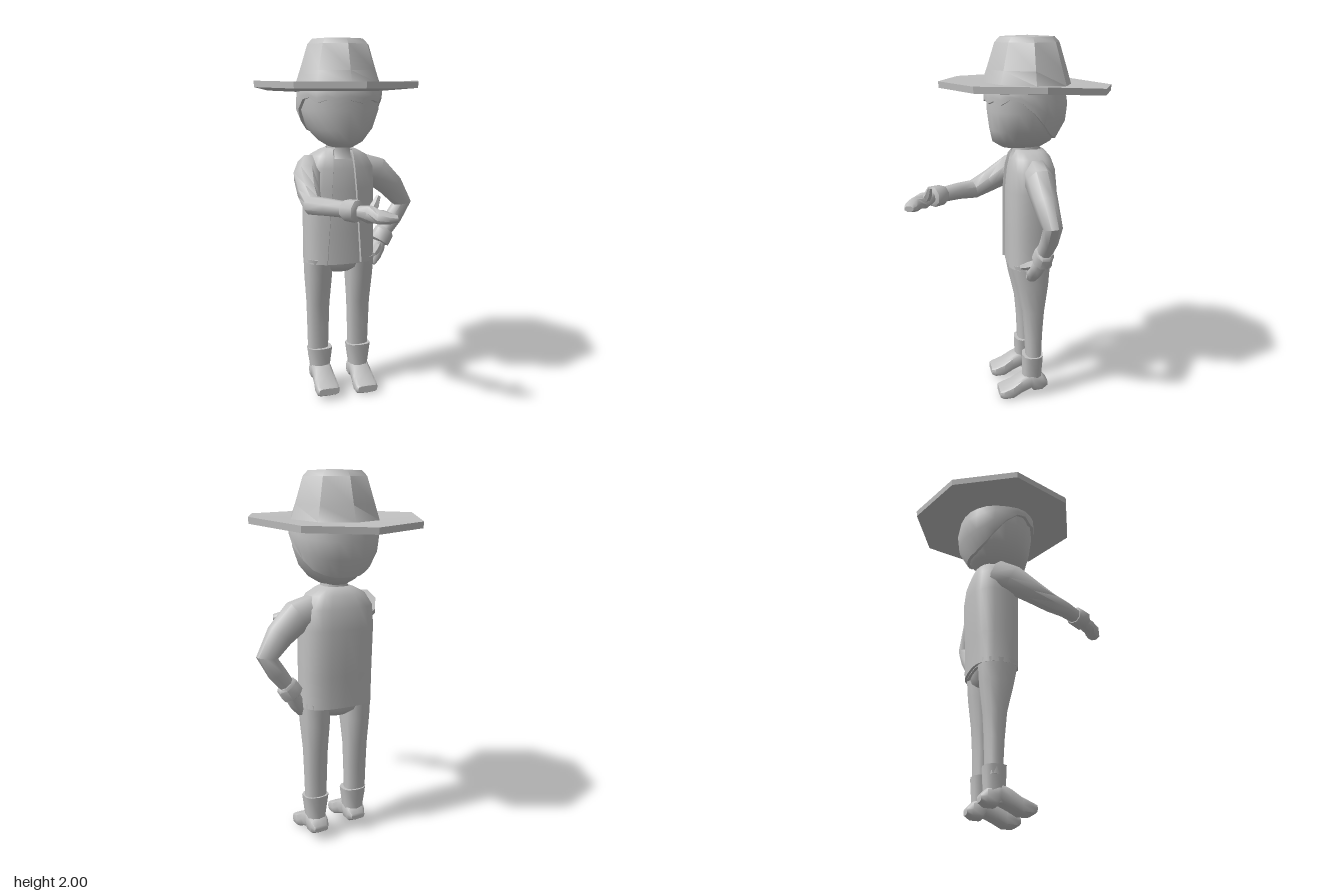
import * as THREE from 'three';
import { toCreasedNormals } from 'three/addons/utils/BufferGeometryUtils.js';

const V = (x, y, z) => new THREE.Vector3(x, y, z);
const pw = (t, e) => Math.sign(t) * Math.pow(Math.abs(t), 2 / e);

// Skin over rows of points; rings may be closed and capped. Faces are turned outward.
function skin(rows, { closed = true, caps = true, crease = 0.9 } = {}) {
  const n = rows[0].length, pts = rows.flat(), idx = [];
  const cols = closed ? n : n - 1;
  for (let r = 0; r < rows.length - 1; r++) {
    for (let i = 0; i < cols; i++) {
      const a = r * n + i, b = r * n + (i + 1) % n;
      idx.push(a, b, a + n, b, b + n, a + n);
    }
  }
  if (caps) {
    for (const r of [0, rows.length - 1]) {
      const c = pts.length;
      pts.push(rows[r].reduce((s, p) => s.add(p), V(0, 0, 0)).divideScalar(n));
      for (let i = 0; i < n; i++) {
        const a = r * n + i, b = r * n + (i + 1) % n;
        r === 0 ? idx.push(c, b, a) : idx.push(c, a, b);
      }
    }
  }
  const mid = new THREE.Box3().setFromPoints(pts).getCenter(V(0, 0, 0));
  let volume = 0;
  for (let i = 0; i < idx.length; i += 3) {
    const [a, b, c] = [0, 1, 2].map(k => pts[idx[i + k]].clone().sub(mid));
    volume += a.dot(b.cross(c));
  }
  if (volume < 0) idx.reverse();
  const g = new THREE.BufferGeometry().setFromPoints(pts);
  g.setIndex(idx);
  return toCreasedNormals(g, crease);
}

// Point on a horizontal rounded section [y, halfWidth, zFront, zBack]; angle 0 faces front
function onOval([y, rx, zf, zb], a, e = 2.4, grow = 0, cx = 0) {
  return V(cx + (rx + grow) * pw(Math.sin(a), e), y,
    (zf + zb) / 2 + ((zf - zb) / 2 + grow) * pw(Math.cos(a), e));
}

function body(sections, n = 16, e = 2.4, cx = 0, crease = 0.9) {
  return skin(sections.map(s => Array.from({ length: n }, (_, i) =>
    onOval(s, i / n * Math.PI * 2, e, 0, cx))), { crease });
}

// Limb through [x, y, z, radius, flatRadius]
function limb(path, n = 8, crease = 0.9) {
  const p = path.map(q => V(q[0], q[1], q[2]));
  return skin(path.map((q, k) => {
    const t = p[Math.min(k + 1, p.length - 1)].clone().sub(p[Math.max(k - 1, 0)]).normalize();
    const ref = Math.abs(t.z) > 0.75 ? V(0, 1, 0) : V(0, 0, 1);
    const u = ref.clone().addScaledVector(t, -ref.dot(t)).normalize();
    const v = t.clone().cross(u);
    return Array.from({ length: n }, (_, i) => {
      const a = (i + 0.5) / n * Math.PI * 2;
      return p[k].clone().addScaledVector(u, Math.cos(a) * (q[4] ?? q[3])).addScaledVector(v, Math.sin(a) * q[3]);
    });
  }), { crease });
}

export function createModel() {
  const model = new THREE.Group();
  const grey = new THREE.MeshStandardMaterial({ color: 0xc0c0c0, side: THREE.DoubleSide });
  grey.name = 'plain grey';
  const add = (name, geometry) => {
    const m = new THREE.Mesh(geometry, grey);
    m.name = name;
    model.add(m);
  };

  // Eight-sided hat, brim sides curled up and front lifted
  const profile = [[0, 1.72], [0.22, 1.716], [0.462, 1.724], [0.465, 1.757], [0.24, 1.757],
    [0.215, 1.83], [0.172, 1.965], [0.145, 1.993], [0, 2]];
  const hat = new THREE.LatheGeometry(profile.map(p => new THREE.Vector2(...p)), 8);
  const hp = hat.attributes.position;
  for (let i = 0; i < hp.count; i++) {
    const x = hp.getX(i), z = hp.getZ(i);
    if (hp.getY(i) < 1.8) hp.setY(i, hp.getY(i) + 0.018 * (x / 0.46) ** 4 + 0.015 * z / 0.46);
  }
  hat.translate(0, 0, -0.095);
  hat.deleteAttribute('uv');
  add('hat', toCreasedNormals(hat, 0.75));

  // Head and neck
  const head = [[1.425, 0.065, 0.04, -0.17], [1.455, 0.115, 0.09, -0.22], [1.52, 0.175, 0.105, -0.265],
    [1.62, 0.212, 0.117, -0.29], [1.74, 0.212, 0.112, -0.275]];
  add('head', body(head, 20, 2.3));
  add('neck', body([[1.36, 0.085, 0, -0.18], [1.41, 0.068, -0.02, -0.16], [1.46, 0.07, -0.01, -0.17]], 12));

  // Hair shell with a ragged fringe and a low nape
  const headAt = y => {
    let k = 0;
    while (k < head.length - 2 && y > head[k + 1][0]) k++;
    const t = (y - head[k][0]) / (head[k + 1][0] - head[k][0]);
    return head[k].map((v, i) => THREE.MathUtils.lerp(v, head[k + 1][i], t));
  };
  const edge = [1.675, 1.66, 1.678, 1.662, 1.69, 1.68, 1.625, 1.56, 1.51, 1.49, 1.475, 1.472, 1.472];
  const hairRows = [[0, -0.005], [0, 0.016], [0.35, 0.018], [0.7, 0.018], [1, 0.014]].map(([t, d]) =>
    Array.from({ length: 24 }, (_, i) => {
      const y = THREE.MathUtils.lerp(edge[i > 12 ? 24 - i : i], 1.735, t);
      return onOval(headAt(y), i / 24 * Math.PI * 2, 2.3, d);
    }));
  add('hair', skin(hairRows, { caps: false }));

  // Shirt and open vest over it
  const torso = [[0.775, 0.2, 0.025, -0.23], [0.95, 0.2, 0.025, -0.235], [1.2, 0.2, 0.025, -0.25],
    [1.31, 0.195, 0.015, -0.238], [1.375, 0.155, 0, -0.215], [1.405, 0.1, -0.015, -0.19], [1.415, 0.07, -0.025, -0.17]];
  add('shirt', body(torso.map(([y, w, f, b]) => [y - 0.004, w - 0.014, f - 0.012, b + 0.014]), 20, 2.8));
  const vestRow = (s, k, d) => {
    const open = Math.min(0.1 - 0.045 * (s[0] - 0.775) / 0.64, s[1] * 0.55);
    const a0 = Math.asin(Math.pow(open / s[1], 1.4));
    const row = Array.from({ length: 21 }, (_, i) => onOval(s, a0 + (Math.PI * 2 - 2 * a0) * i / 20, 2.8, d));
    const inner = a => onOval(s, a, 2.8, -0.018);
    return [inner(a0), ...row, inner(-a0)];
  };
  add('vest', skin([vestRow(torso[0], 0, -0.018), ...torso.map((s, k) => vestRow(s, k, 0))],
    { closed: false, caps: false }));

  // Trousers
  add('hips', body([[0.715, 0.06, -0.04, -0.17], [0.745, 0.16, -0.015, -0.195], [0.8, 0.19, 0.01, -0.21],
    [0.86, 0.185, 0.005, -0.21]], 16, 2.8));
  for (const side of [-1, 1]) {
    const name = side > 0 ? 'left' : 'right';
    const leg = [[0.2, 0.06, -0.075, -0.16], [0.38, 0.064, -0.066, -0.165], [0.52, 0.067, -0.053, -0.175],
      [0.68, 0.076, -0.015, -0.198], [0.8, 0.08, 0.008, -0.208]];
    add(name + 'Leg', body(leg, 12, 2.4, side * 0.121));

    // Boot: flared shaft and a foot built along z from [z, yLow, yHigh, halfWidth]
    const cx = side > 0 ? 0.121 : -0.113, lift = side > 0 ? 0 : 0.02;
    add(name + 'BootShaft', body([[0.07, 0.05, -0.05, -0.17], [0.13, 0.056, -0.055, -0.166],
      [0.25, 0.073, -0.053, -0.172]], 10, 2.6, cx));
    const foot = [[-0.195, 0.055, 0.09, 0.04], [-0.165, 0.035, 0.12, 0.055], [-0.115, 0.032, 0.14, 0.058],
      [-0.1, 0.05, 0.145, 0.058], [-0.045, 0.025, 0.12, 0.06], [0.005, 0, 0.085, 0.067],
      [0.06, 0, 0.06, 0.067], [0.08, 0.012, 0.052, 0.058]];
    add(name + 'Foot', skin(foot.map(([z, lo, hi, w]) => Array.from({ length: 12 }, (_, i) => {
      const a = i / 12 * Math.PI * 2;
      return V(cx + w * pw(Math.sin(a), 4), (lo + hi) / 2 + lift + (hi - lo) / 2 * pw(Math.cos(a), 4), z + lift / 2);
    }))));
  }

  // Right arm reaching forward
  add('rightArm', limb([[-0.15, 1.31, -0.12, 0.08], [-0.195, 1.265, -0.04, 0.078], [-0.215, 1.195, 0.07, 0.062],
    [-0.22, 1.145, 0.165, 0.053], [-0.165, 1.15, 0.26, 0.046], [-0.08, 1.15, 0.38, 0.04]]));
  add('rightCuff', limb([[-0.105, 1.15, 0.345, 0.046], [-0.095, 1.15, 0.36, 0.056], [-0.06, 1.15, 0.412, 0.058],
    [-0.053, 1.15, 0.42, 0.04]]));
  add('rightHand', limb([[-0.06, 1.15, 0.41, 0.03], [-0.015, 1.142, 0.465, 0.042, 0.045], [0.025, 1.135, 0.51, 0.038, 0.044],
    [0.065, 1.13, 0.535, 0.028, 0.038], [0.1, 1.13, 0.548, 0.016, 0.026]]));
  add('rightThumb', limb([[-0.005, 1.15, 0.455, 0.025], [0.022, 1.185, 0.44, 0.022], [0.042, 1.225, 0.432, 0.012]], 6));

  // Left arm with the hand on the hip
  add('leftArm', limb([[0.12, 1.3, -0.12, 0.085, 0.075], [0.225, 1.27, -0.12, 0.088, 0.076],
    [0.325, 1.18, -0.128, 0.073, 0.065], [0.402, 1.075, -0.147, 0.057, 0.05], [0.35, 0.99, -0.143, 0.05, 0.046],
    [0.27, 0.885, -0.13, 0.04]]));
  add('leftCuff', limb([[0.302, 0.922, -0.134, 0.045], [0.292, 0.91, -0.133, 0.06, 0.052],
    [0.257, 0.858, -0.127, 0.062, 0.054], [0.252, 0.85, -0.126, 0.04]]));
  add('leftHand', limb([[0.265, 0.87, -0.128, 0.035], [0.24, 0.82, -0.11, 0.042, 0.044], [0.217, 0.775, -0.095, 0.036, 0.042],
    [0.195, 0.735, -0.085, 0.022, 0.03]]));
  add('leftThumb', limb([[0.245, 0.835, -0.1, 0.026], [0.215, 0.815, -0.06, 0.022], [0.19, 0.802, -0.03, 0.012]], 6));

  return model;
}
